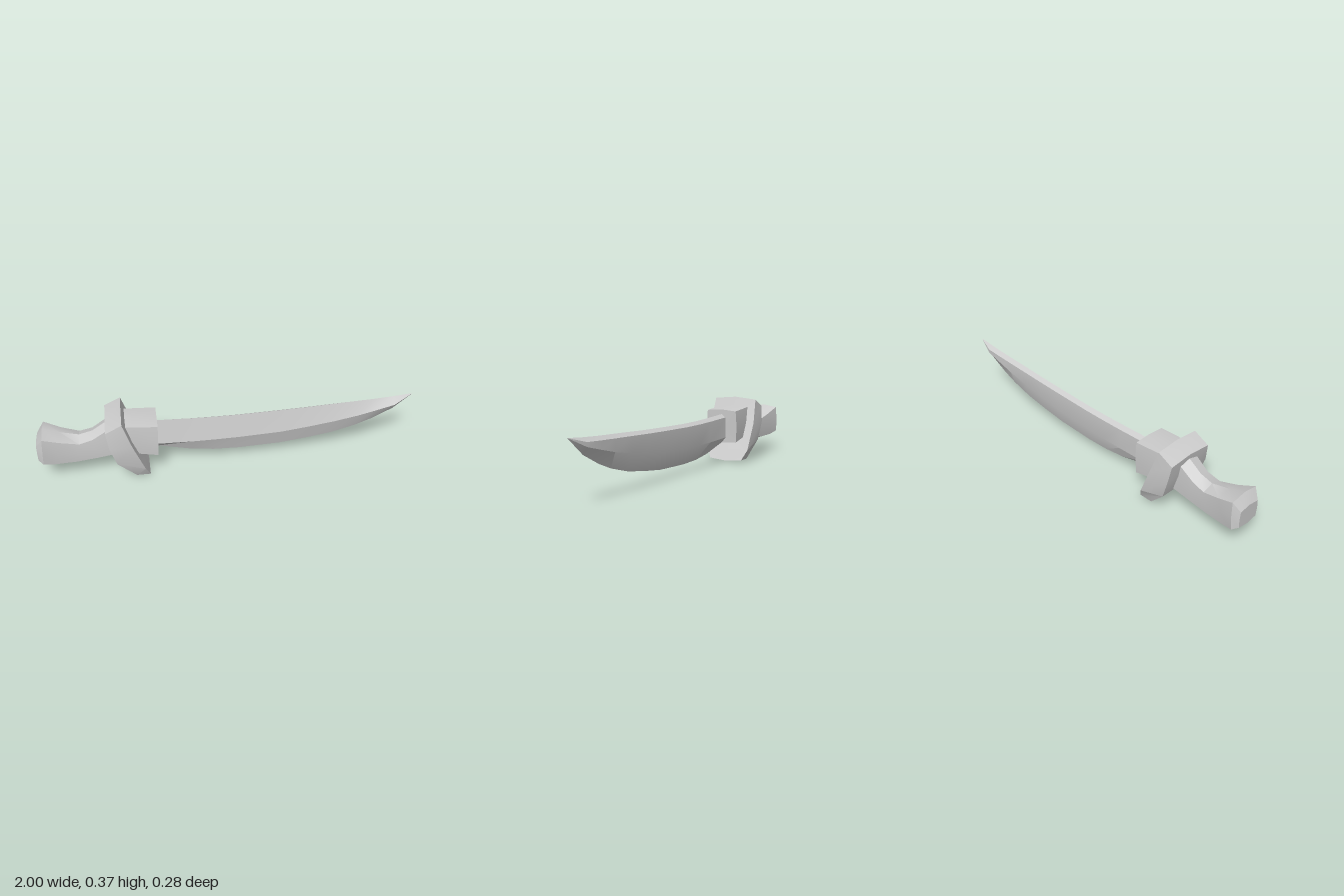
import * as THREE from 'three';
import { toCreasedNormals } from 'three/addons/utils/BufferGeometryUtils.js';

// Skin a list of equal-length rings of [x, y, z] points, capping both ends.
function loft(rings, crease) {
  const n = rings[0].length;
  const tris = [];
  for (let i = 0; i < rings.length - 1; i++) {
    for (let j = 0; j < n; j++) {
      const k = (j + 1) % n;
      const a = rings[i][j], b = rings[i][k], c = rings[i + 1][k], d = rings[i + 1][j];
      tris.push([a, b, c], [a, c, d]);
    }
  }
  const cap = (ring, flip) => {
    const mid = [0, 1, 2].map((c) => ring.reduce((s, p) => s + p[c], 0) / n);
    ring.forEach((p, j) => {
      const q = ring[(j + 1) % n];
      tris.push(flip ? [mid, q, p] : [mid, p, q]);
    });
  };
  cap(rings[0], true);
  cap(rings[rings.length - 1], false);
  // Turn every face outward if the solid came out inside out.
  const V = (p) => new THREE.Vector3(...p);
  const volume = tris.reduce((s, [a, b, c]) => s + V(a).dot(V(b).cross(V(c))), 0);
  if (volume < 0) tris.forEach((t) => t.reverse());
  const geo = new THREE.BufferGeometry();
  geo.setAttribute('position', new THREE.Float32BufferAttribute(tris.flat(2), 3));
  return toCreasedNormals(geo, crease);
}

// Ring across the handle direction: box with gently bulging top, bottom and sides.
function bulgedRing([xt, yt, xb, yb, hz, bulge]) {
  const xm = (xt + xb) / 2, ym = (yt + yb) / 2;
  return [
    [xt, yt, 0], [xt, yt - bulge, hz * 0.94], [xm, ym, hz], [xb, yb + bulge, hz * 0.94],
    [xb, yb, 0], [xb, yb + bulge, -hz * 0.94], [xm, ym, -hz], [xt, yt - bulge, -hz * 0.94],
  ];
}

// Ring across the guard: left and right corners, with a lifted centre line.
function guardRing([xl, yl, xr, yr, hz, lift]) {
  return [
    [xl, yl, hz], [xl, yl + lift, 0], [xl, yl, -hz],
    [xr, yr, -hz], [xr, yr + lift, 0], [xr, yr, hz],
  ];
}

// Ring across the blade: edge, bevel ridges, and a spine sloped to one side.
function bladeRing({ x, y: bottom }, ridge, shoulder, top, t) {
  return [[x, bottom, 0], [x, ridge, t], [x, top, 0], [x, shoulder, -t], [x, ridge, -t]];
}

export function createModel() {
  const model = new THREE.Group();
  const steel = new THREE.MeshStandardMaterial({ color: 0xcccccc });
  steel.name = 'grey steel';
  const add = (name, geo) => {
    const mesh = new THREE.Mesh(geo, steel);
    mesh.name = name;
    model.add(mesh);
  };

  // Blade stations: x, edge, ridge, back shoulder, spine top, half thickness
  add('blade', loft([
    [-0.45, 0.14, 0.155, 0.265, 0.283, 0.025],
    [-0.38, 0.115, 0.145, 0.262, 0.28, 0.025],
    [-0.2, 0.073, 0.14, 0.256, 0.273, 0.025],
    [-0.08, 0.058, 0.14, 0.254, 0.27, 0.025],
    [0.05, 0.054, 0.142, 0.254, 0.27, 0.025],
    [0.28, 0.062, 0.152, 0.26, 0.276, 0.025],
    [0.43, 0.08, 0.17, 0.265, 0.281, 0.025],
    [0.57, 0.102, 0.19, 0.271, 0.288, 0.025],
    [0.7, 0.137, 0.214, 0.276, 0.294, 0.025],
    [0.79, 0.172, 0.236, 0.28, 0.298, 0.025],
    [0.9, 0.228, 0.264, 0.286, 0.305, 0.025],
    [1.0, 0.312, 0.313, 0.3135, 0.314, 0.0005],
  ].map(([x, y, ridge, shoulder, top, t]) => bladeRing({ x, y }, ridge, shoulder, top, t)), 0.33));

  // Collar that holds the blade
  add('collar', loft([
    [-0.56, 0.32, -0.56, 0.145, 0.09, 0.008],
    [-0.5, 0.316, -0.48, 0.13, 0.093, 0.008],
    [-0.38, 0.307, -0.385, 0.113, 0.096, 0.007],
  ].map(bulgedRing), 0.4));

  // Tilted hand guard, from top to bottom
  add('guard', loft([
    [-0.645, 0.313, -0.56, 0.355, 0.13, 0.012],
    [-0.632, 0.22, -0.515, 0.22, 0.14, 0],
    [-0.6, 0.115, -0.457, 0.068, 0.13, 0],
    [-0.505, 0.01, -0.433, 0.01, 0.102, -0.01],
  ].map(guardRing), 0.35));

  // Curved grip with flared, bevelled pommel end
  add('grip', loft([
    [-1.0, 0.235, -1.0, 0.125, 0.066, 0.01],
    [-0.965, 0.287, -0.975, 0.108, 0.09, 0.014],
    [-0.88, 0.257, -0.92, 0.088, 0.075, 0.018],
    [-0.785, 0.232, -0.81, 0.082, 0.064, 0.02],
    [-0.715, 0.25, -0.7, 0.092, 0.06, 0.02],
    [-0.64, 0.3, -0.61, 0.108, 0.063, 0.02],
    [-0.58, 0.32, -0.56, 0.118, 0.065, 0.02],
  ].map(bulgedRing), 0.5));

  return model;
}
